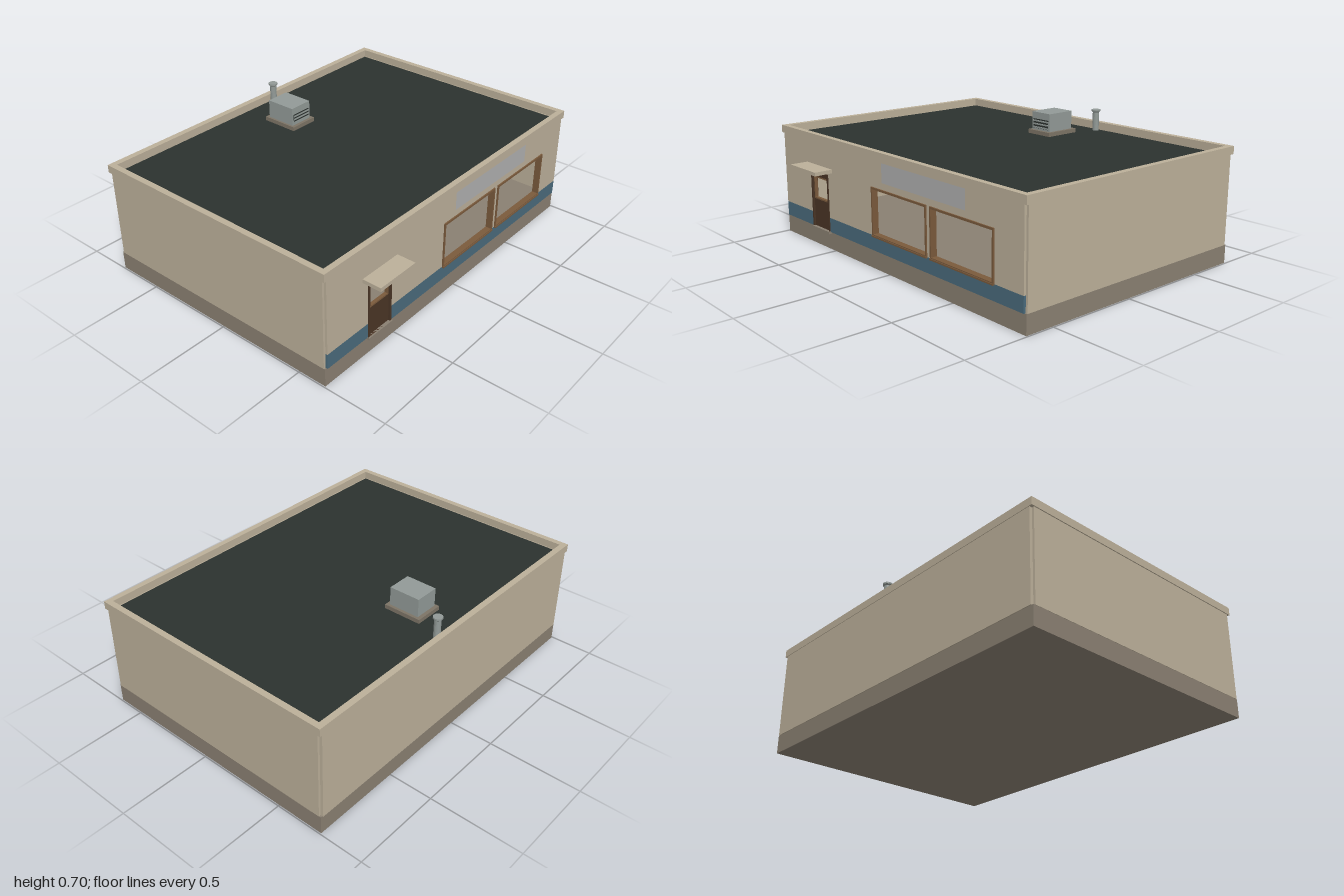
import * as THREE from 'three';

const mat = (color) => new THREE.MeshStandardMaterial({ color, side: THREE.DoubleSide });

export function createModel() {
  const model = new THREE.Group();
  const wall = mat(0xbcb09a), plinth = mat(0x8a8072), blue = mat(0x4a6b7c);
  const roofMat = mat(0x2c322f), wood = mat(0x7a5a3c), darkWood = mat(0x4a3526);
  const metal = mat(0x929a97), curbMat = mat(0x7d7466), signMat = mat(0xb0b0b0);

  const add = (name, geometry, material, parent = model) => {
    const m = new THREE.Mesh(geometry, material);
    m.name = name;
    parent.add(m);
    return m;
  };
  // Box given by its two extreme corners
  const box = (name, material, x0, x1, y0, y1, z0, z1, parent) => {
    const m = add(name, new THREE.BoxGeometry(x1 - x0, y1 - y0, z1 - z0), material, parent);
    m.position.set((x0 + x1) / 2, (y0 + y1) / 2, (z0 + z1) / 2);
    return m;
  };
  const rect = (Type, a0, a1, b0, b1) => new Type([
    new THREE.Vector2(a0, b0), new THREE.Vector2(a1, b0),
    new THREE.Vector2(a1, b1), new THREE.Vector2(a0, b1)]);
  const extrude = (shape, depth) => new THREE.ExtrudeGeometry(shape, { depth, bevelEnabled: false });

  // Plinth, whose top is the floor inside
  box('plinth', plinth, -0.76, 0.655, 0, 0.1, -0.993, 0.993);

  // Plain walls, set back at the corners to leave small notches
  box('frontWall', wall, -0.75, 0.65, 0.1, 0.58, 0.965, 0.995);
  box('backWall', wall, -0.75, 0.65, 0.1, 0.58, -0.995, -0.965);
  box('leftSideWall', wall, -0.765, -0.735, 0.1, 0.58, -0.983, 0.983);

  // Entrance wall on +x: profile drawn in (-z, y), notched for the door
  const windows = [[-0.125, 0.322], [0.35, 0.797]];
  const profile = new THREE.Shape([
    [-0.983, 0.18], [-0.705, 0.18], [-0.705, 0.415], [-0.535, 0.415], [-0.535, 0.18],
    [0.983, 0.18], [0.983, 0.58], [-0.983, 0.58]].map(([a, b]) => new THREE.Vector2(a, b)));
  for (const [a, b] of windows) profile.holes.push(rect(THREE.Path, a, b, 0.183, 0.432));
  const entrance = add('entranceWall', extrude(profile, 0.03), wall);
  entrance.rotation.y = Math.PI / 2;
  entrance.position.x = 0.632;
  for (const [z0, z1] of [[-0.983, 0.535], [0.705, 0.983]])
    box('blueBand', blue, 0.632, 0.662, 0.1, 0.18, z0, z1);

  // Parapet ring and sunken roof
  const ring = rect(THREE.Shape, -0.768, 0.666, -1, 1);
  ring.holes.push(rect(THREE.Path, -0.735, 0.635, -0.968, 0.968));
  const parapet = add('parapet', extrude(ring, 0.042), wall);
  parapet.rotation.x = -Math.PI / 2;
  parapet.position.y = 0.579;
  box('roof', roofMat, -0.74, 0.64, 0.56, 0.578, -0.97, 0.97);

  // Open window frames with sills
  for (const [a, b] of windows) {
    const frame = rect(THREE.Shape, a, b, 0.178, 0.435);
    frame.holes.push(rect(THREE.Path, a + 0.009, b - 0.009, 0.188, 0.424));
    const f = add('windowFrame', extrude(frame, 0.035), wood);
    f.rotation.y = Math.PI / 2;
    f.position.x = 0.634;
    box('windowSill', wood, 0.65, 0.673, 0.175, 0.183, -b, -a);
  }

  // Door: frame, half-glazed leaf, threshold and canopy
  const door = new THREE.Group();
  door.name = 'door';
  model.add(door);
  const doorFrame = rect(THREE.Shape, -0.705, -0.535, 0.1, 0.417);
  doorFrame.holes.push(rect(THREE.Path, -0.694, -0.546, 0.102, 0.392));
  const leaf = rect(THREE.Shape, -0.694, -0.546, 0.102, 0.392);
  leaf.holes.push(rect(THREE.Path, -0.686, -0.554, 0.262, 0.383));
  const trim = rect(THREE.Shape, -0.689, -0.551, 0.258, 0.386);
  trim.holes.push(rect(THREE.Path, -0.682, -0.558, 0.266, 0.379));
  for (const [name, shape, depth, x, material] of [
    ['doorFrame', doorFrame, 0.034, 0.632, darkWood],
    ['doorLeaf', leaf, 0.014, 0.642, darkWood],
    ['doorGlazingTrim', trim, 0.018, 0.64, wood]]) {
    const m = add(name, extrude(shape, depth), material, door);
    m.rotation.y = Math.PI / 2;
    m.position.x = x;
  }
  box('threshold', plinth, 0.632, 0.674, 0.09, 0.102, 0.532, 0.708, door);
  box('canopy', wall, 0.66, 0.765, 0.433, 0.453, 0.495, 0.745, door);

  // Blank sign panel above the windows
  const sign = add('signPanel', new THREE.PlaneGeometry(0.64, 0.1), signMat);
  sign.rotation.y = Math.PI / 2;
  sign.position.set(0.664, 0.52, -0.285);

  // Rooftop unit on a curb with a louvred face
  const unit = new THREE.Group();
  unit.name = 'rooftopUnit';
  model.add(unit);
  box('curb', curbMat, -0.58, -0.37, 0.577, 0.6, -0.083, 0.08, unit);
  box('unitBody', metal, -0.56, -0.388, 0.6, 0.7, -0.067, 0.069, unit);
  box('louvrePanel', roofMat, -0.39, -0.386, 0.61, 0.662, -0.057, 0.059, unit);
  for (const y of [0.616, 0.634, 0.652])
    box('louvreSlat', metal, -0.388, -0.383, y - 0.004, y + 0.004, -0.057, 0.059, unit);

  // Vent pipe with a flared cap
  const vent = add('ventPipe', new THREE.LatheGeometry([
    [0, 0.57], [0.018, 0.57], [0.018, 0.682], [0.025, 0.688], [0.025, 0.697], [0, 0.697]]
    .map(([r, y]) => new THREE.Vector2(r, y)), 16), metal.clone());
  vent.material.flatShading = true;
  vent.position.set(-0.71, 0, -0.115);

  return model;
}
